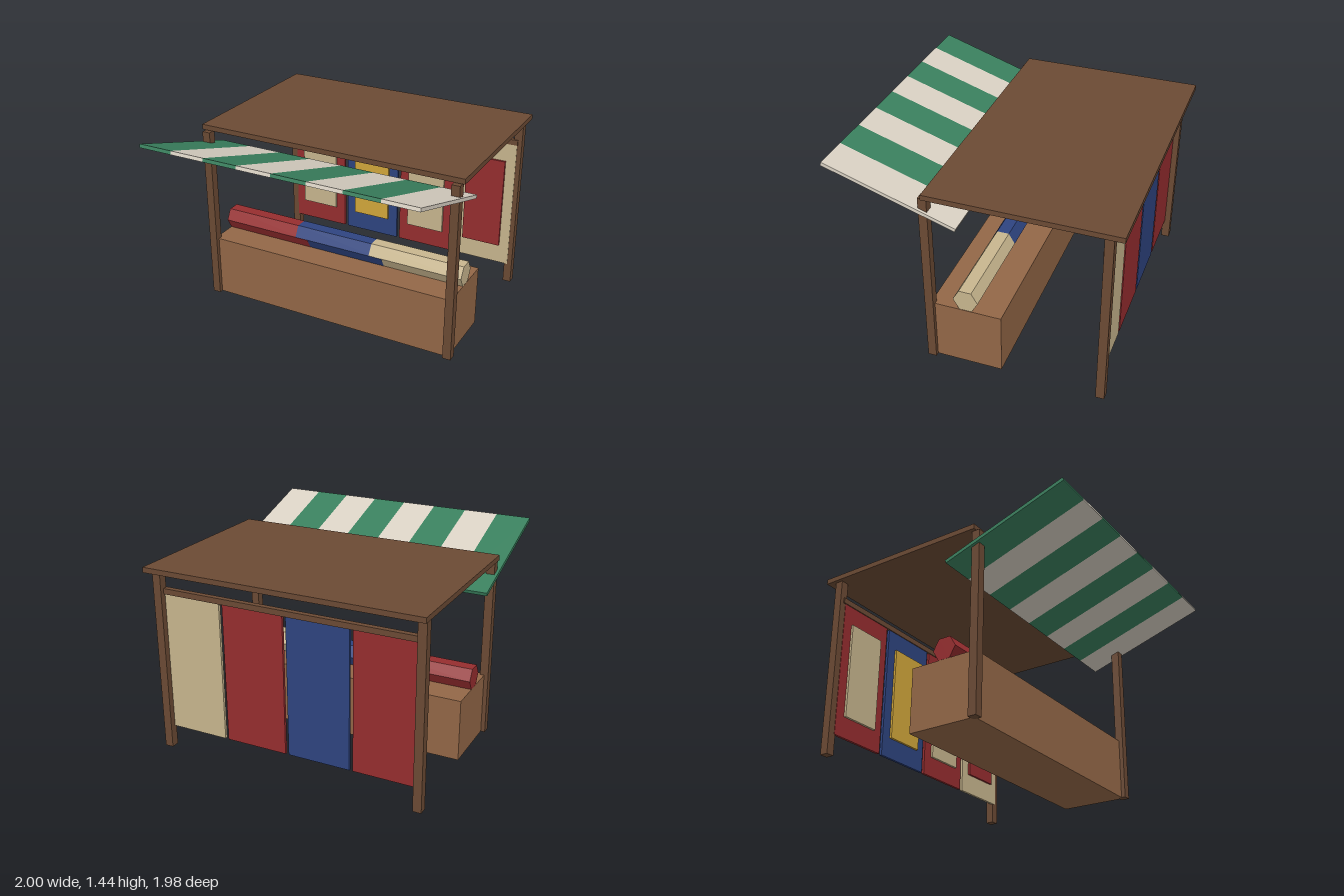
import * as THREE from 'three';

function material(name, color) {
  const m = new THREE.MeshStandardMaterial({ color });
  m.name = name;
  return m;
}

export function createModel() {
  const group = new THREE.Group();
  group.name = 'marketStall';

  const darkWood = material('dark wood', 0x6b4a34);
  const counterWood = material('counter wood', 0x936747);
  const green = material('green canvas', 0x3a805e);
  const cream = material('cream canvas', 0xd9d1c3);
  const red = material('red cloth', 0x962d2f);
  const blue = material('blue cloth', 0x2e4480);
  const tan = material('tan cloth', 0xc8b68e);
  const gold = material('gold cloth', 0xd2a73b);

  // Box given by its centre and size
  function box(name, mat, [x, y, z], [w, h, d], parent = group) {
    const mesh = new THREE.Mesh(new THREE.BoxGeometry(w, h, d), mat);
    mesh.name = name;
    mesh.position.set(x, y, z);
    parent.add(mesh);
    return mesh;
  }

  // Four corner posts
  for (const side of [-1, 1]) {
    const s = side > 0 ? 'Left' : 'Right';
    box('frontPost' + s, darkWood, [side * 0.95, 0.6525, 0.31], [0.06, 1.305, 0.06]);
    box('backPost' + s, darkWood, [side * 0.95, 0.6525, -0.89], [0.06, 1.305, 0.06]);
  }

  // Flat roof, hanging rail and counter
  box('roof', darkWood, [0, 1.328, -0.34], [2, 0.037, 1.3]);
  box('hangingRail', darkWood, [0, 1.16, -0.87], [1.9, 0.04, 0.04]);
  box('counter', counterWood, [0, 0.225, 0.06], [1.9, 0.45, 0.5]);

  // Striped awning, tilted up towards the front
  const awning = new THREE.Group();
  awning.name = 'awning';
  awning.position.set(0, 1.28, 0.535);
  awning.rotation.x = -THREE.MathUtils.degToRad(18);
  group.add(awning);
  for (let i = 0; i < 8; i++) {
    box('awningStripe' + (i + 1), i % 2 ? cream : green,
      [-0.875 + i * 0.25, 0, 0], [0.25, 0.025, 0.95], awning);
  }

  // Overlapping hexagonal rolls of cloth, each laid a hair above the last
  [red, blue, tan].forEach((mat, i) => {
    const geometry = new THREE.CylinderGeometry(0.088, 0.088, 0.7, 6);
    geometry.rotateZ(Math.PI / 2);
    const roll = new THREE.Mesh(geometry.toNonIndexed(), mat);
    roll.geometry.computeVertexNormals();
    roll.name = 'clothRoll' + (i + 1);
    roll.position.set(-0.6 + i * 0.6, 0.527 + i * 0.001, 0.06);
    group.add(roll);
  });

  // Hanging rugs with a contrasting centre on the inside
  [[red, tan], [blue, gold], [red, tan], [tan, red]].forEach(([border, centre], i) => {
    const x = -0.705 + i * 0.475;
    box('rug' + (i + 1), border, [x, 0.65, -0.867], [0.45, 1, 0.02]);
    box('rugCentre' + (i + 1), centre, [x, 0.65, -0.849], [0.3, 0.7, 0.018]);
  });

  return group;
}
